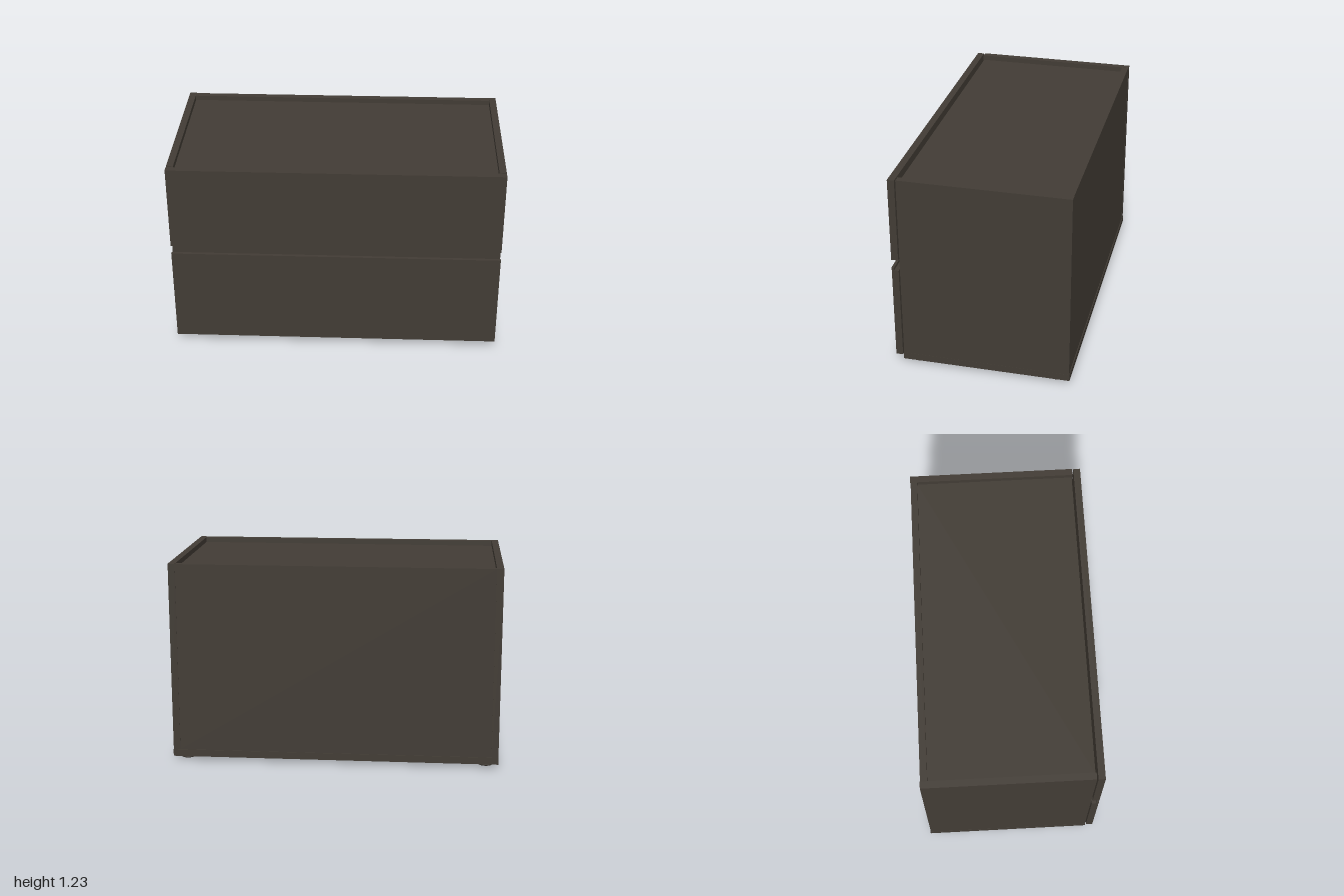
import * as THREE from 'three';

export function createModel() {
  const model = new THREE.Group();
  model.name = 'drawerCabinet';
  const darkBrown = new THREE.MeshStandardMaterial({ color: 0x423c35 });
  darkBrown.name = 'darkBrown';

  // Box given by its minimum and maximum on each axis
  function panel(name, [x0, x1], [y0, y1], [z0, z1]) {
    const mesh = new THREE.Mesh(new THREE.BoxGeometry(x1 - x0, y1 - y0, z1 - z0), darkBrown);
    mesh.position.set((x0 + x1) / 2, (y0 + y1) / 2, (z0 + z1) / 2);
    mesh.name = name;
    model.add(mesh);
  }

  // Carcass with a recessed top
  panel('leftSide', [0.957, 0.999], [0.068, 1.232], [-0.531, 0.482]);
  panel('rightSide', [-0.999, -0.957], [0.068, 1.232], [-0.531, 0.482]);
  panel('basePlate', [-1, 1], [0.025, 0.068], [-0.534, 0.484]);
  panel('backPanel', [-0.957, 0.957], [0.068, 1.23], [-0.529, -0.488]);
  panel('topPanel', [-0.957, 0.957], [1.16, 1.2], [-0.488, 0.478]);
  panel('middleRail', [-0.957, 0.957], [0.68, 0.72], [0.38, 0.48]);

  // Drawer fronts
  panel('upperDrawerFront', [-0.999, 0.999], [0.71, 1.23], [0.49, 0.532]);
  panel('lowerDrawerFront', [-0.999, 0.999], [0.052, 0.64], [0.49, 0.532]);

  // Grip channel along the lower drawer
  panel('gripLip', [-0.999, 0.999], [0.64, 0.656], [0.518, 0.534]);
  panel('gripBack', [-0.957, 0.957], [0.635, 0.698], [0.48, 0.487]);

  // Stepped round feet
  const footProfile = [[0, 0], [0.045, 0], [0.051, 0.005], [0.051, 0.011], [0.04, 0.014], [0.046, 0.018], [0.046, 0.026], [0, 0.026]]
    .map(([r, y]) => new THREE.Vector2(r, y));
  const footGeometry = new THREE.LatheGeometry(footProfile, 24);
  for (const x of [-0.923, 0.923]) {
    for (const z of [-0.443, 0.405]) {
      const foot = new THREE.Mesh(footGeometry, darkBrown);
      foot.position.set(x, 0, z);
      foot.name = 'foot';
      model.add(foot);
    }
  }
  return model;
}
